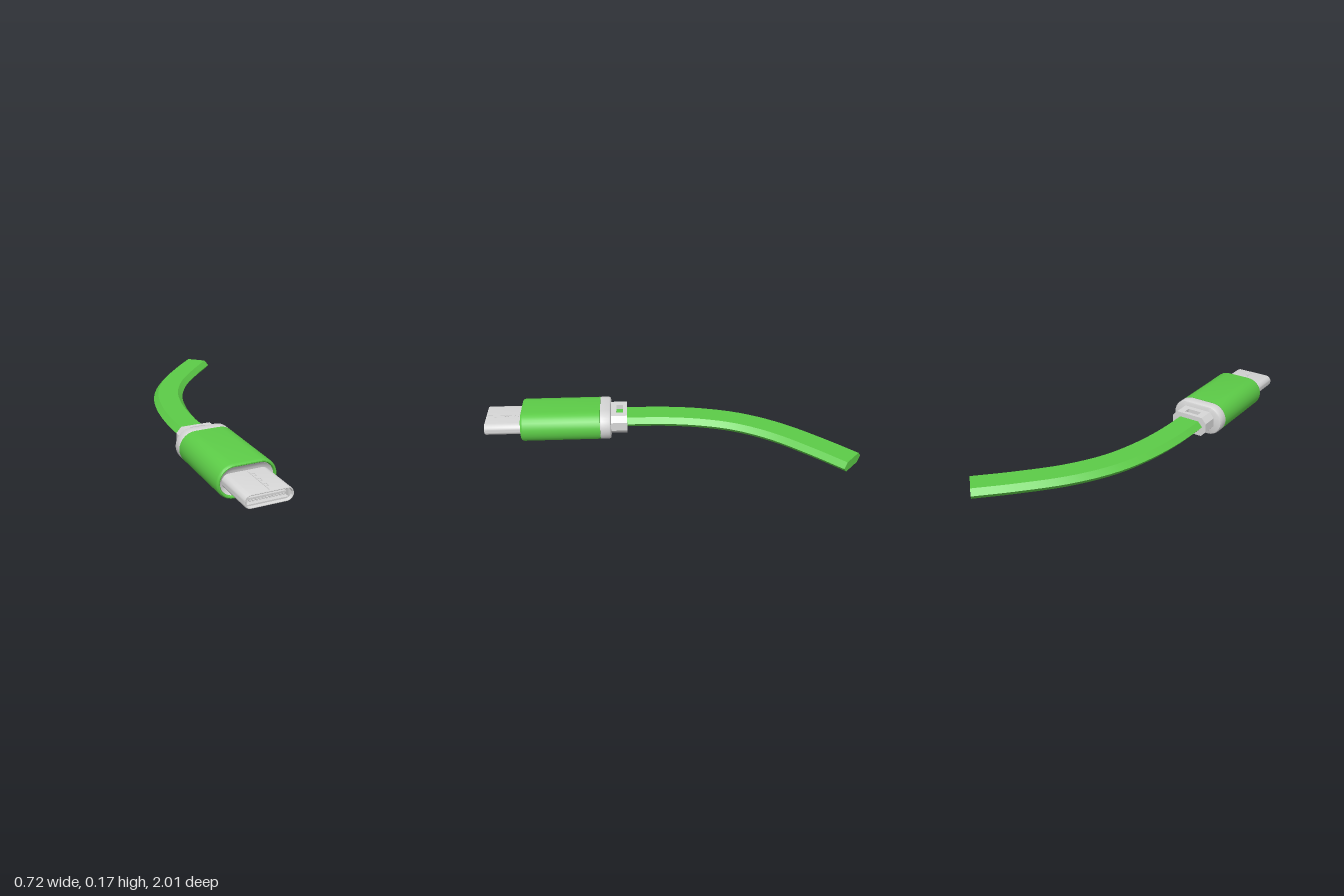
import * as THREE from 'three';
import { toCreasedNormals } from 'three/addons/utils/BufferGeometryUtils.js';

const CX = -0.215, CY = 0.0855; // axis of the connector

// Skins a list of closed rings (counter-clockwise about the direction of travel)
function skin(rings, crease = 0.6) {
  const pos = [];
  const n = rings[0].length;
  for (let i = 0; i < rings.length - 1; i++) {
    for (let j = 0; j < n; j++) {
      const k = (j + 1) % n;
      const a = rings[i][j], b = rings[i][k], c = rings[i + 1][k], d = rings[i + 1][j];
      for (const p of [a, b, c, a, c, d]) pos.push(p.x, p.y, p.z);
    }
  }
  const g = new THREE.BufferGeometry();
  g.setAttribute('position', new THREE.Float32BufferAttribute(pos, 3));
  return toCreasedNormals(g, crease);
}

// Stadium outline: two half circles of radius r, centres s either side of the axis
function stadium(s, r, z) {
  const ring = [];
  for (const side of [1, -1]) {
    for (let i = 0; i <= 14; i++) {
      const a = -Math.PI / 2 + (i / 14) * Math.PI;
      ring.push(new THREE.Vector3(side * (s + r * Math.cos(a)), side * r * Math.sin(a), z));
    }
  }
  return ring;
}

const loft = (s, profile) => skin(profile.map(([r, z]) => stadium(s, r, z)));

function prism(points, z0, z1, holePoints) {
  const toV = (list) => list.map(([x, y]) => new THREE.Vector2(x, y));
  const shape = new THREE.Shape(toV(points));
  if (holePoints) shape.holes.push(new THREE.Path(toV(holePoints)));
  const g = new THREE.ExtrudeGeometry(shape, { depth: z1 - z0, bevelEnabled: false });
  return g.translate(0, 0, z0);
}

export function createModel() {
  const green = new THREE.MeshStandardMaterial({ color: 0x5ccb47 });
  green.name = 'green rubber';
  const grey = new THREE.MeshStandardMaterial({ color: 0xd6d6d6 });
  grey.name = 'light grey metal';

  const model = new THREE.Group();
  model.name = 'cableWithPlug';
  const connector = new THREE.Group();
  connector.name = 'connector';
  connector.position.set(CX, CY, 0);
  model.add(connector);

  const add = (name, geometry, material, parent = connector) => {
    const mesh = new THREE.Mesh(geometry, material);
    mesh.name = name;
    parent.add(mesh);
    return mesh;
  };
  const addBox = (name, w, h, d, x, y, z) =>
    add(name, new THREE.BoxGeometry(w, h, d), grey).position.set(x, y, z);

  // Green housing with a rounded front rim around a recess
  add('housing', loft(0.065, [
    [0, 0.362], [0.085, 0.362], [0.085, 0.785], [0.083, 0.793], [0.078, 0.799],
    [0.073, 0.799], [0.069, 0.793], [0.068, 0.785], [0.068, 0.765], [0, 0.765],
  ]), green);
  add('recessPlate', loft(0.065, [
    [0.0675, 0.762], [0.0675, 0.79], [0.056, 0.78], [0.042, 0.774], [0, 0.772],
  ]), grey);

  // Rounded grey collar behind the housing
  add('collar', loft(0.065, [
    [0, 0.302], [0.074, 0.302], [0.081, 0.305], [0.085, 0.313],
    [0.085, 0.354], [0.083, 0.361], [0, 0.361],
  ]), grey);

  // Metal plug shell, hollow at the front
  add('plugShell', loft(0.086, [
    [0, 0.765], [0.034, 0.765], [0.034, 0.994], [0.0325, 0.999], [0.030, 1.0],
    [0.028, 0.999], [0.026, 0.994], [0.026, 0.9], [0, 0.9],
  ]), grey);

  // Inner frame of the plug with a rectangular mouth
  const outline = stadium(0.086, 0.0262, 0).map((p) => [p.x, p.y]);
  add('plugFrame', prism(outline, 0.95, 0.985,
    [[-0.1, -0.019], [-0.1, 0.019], [0.1, 0.019], [0.1, -0.019]]), grey);

  // Contact tongue and two rows of contacts
  addBox('contactTongue', 0.19, 0.009, 0.07, 0, -0.001, 0.935);
  for (const side of [1, -1]) {
    for (let i = 0; i < 12; i++) {
      addBox('contact', 0.008, 0.007, 0.06, (i - 5.5) * 0.0163, side * 0.0155, 0.935);
    }
  }

  // Interlocking seam along the top of the shell
  addBox('seam', 0.004, 0.003, 0.2, 0.004, 0.0345, 0.89);
  for (let i = 0; i < 3; i++) {
    const z = 0.83 + i * 0.055;
    addBox('seamTab', 0.018, 0.003, 0.004, 0.012, 0.0345, z - 0.01);
    addBox('seamTab', 0.018, 0.003, 0.004, 0.012, 0.0345, z + 0.01);
    addBox('seamTab', 0.004, 0.003, 0.024, 0.021, 0.0345, z);
  }

  // Strain relief: chamfered sleeve with a slot above and below the cable
  const octagon = [
    [0.105, -0.025], [0.105, 0.025], [0.078, 0.055], [-0.078, 0.055],
    [-0.105, 0.025], [-0.105, -0.025], [-0.078, -0.055], [0.078, -0.055],
  ];
  const half = [
    [0.04, -0.055], [0.078, -0.055], [0.105, -0.025],
    [0.105, 0.025], [0.078, 0.055], [0.04, 0.055],
  ];
  add('strainReliefBack', prism(octagon, 0.212, 0.235), grey);
  add('strainReliefFront', prism(octagon, 0.272, 0.304), grey);
  add('strainReliefLeft', prism(half, 0.235, 0.272), grey);
  add('strainReliefRight', prism(half.map(([x, y]) => [-x, y]).reverse(), 0.235, 0.272), grey);

  // Flat six-sided cable, swept along a bend
  const path = new THREE.CatmullRomCurve3([
    [-0.215, 0.29], [-0.215, 0.15], [-0.21, 0], [-0.183, -0.2], [-0.125, -0.4],
    [-0.015, -0.6], [0.15, -0.8], [0.292, -0.95],
  ].map(([x, z]) => new THREE.Vector3(x, CY + 0.0005, z)));
  const hexagon = [
    [0.083, 0], [0.057, 0.0285], [-0.057, 0.0285],
    [-0.083, 0], [-0.057, -0.0285], [0.057, -0.0285],
  ];
  const up = new THREE.Vector3(0, 1, 0);
  const rings = [];
  const steps = 28;
  for (let i = 0; i <= steps; i++) {
    const centre = path.getPointAt(i / steps);
    const side = up.clone().cross(path.getTangentAt(i / steps)).normalize();
    const ring = hexagon.map(([u, v]) =>
      centre.clone().addScaledVector(side, u).addScaledVector(up, v));
    const cap = hexagon.map(() => centre.clone());
    if (i === 0) rings.push(cap);
    rings.push(ring);
    if (i === steps) rings.push(cap);
  }
  add('cable', skin(rings), green, model);

  return model;
}
